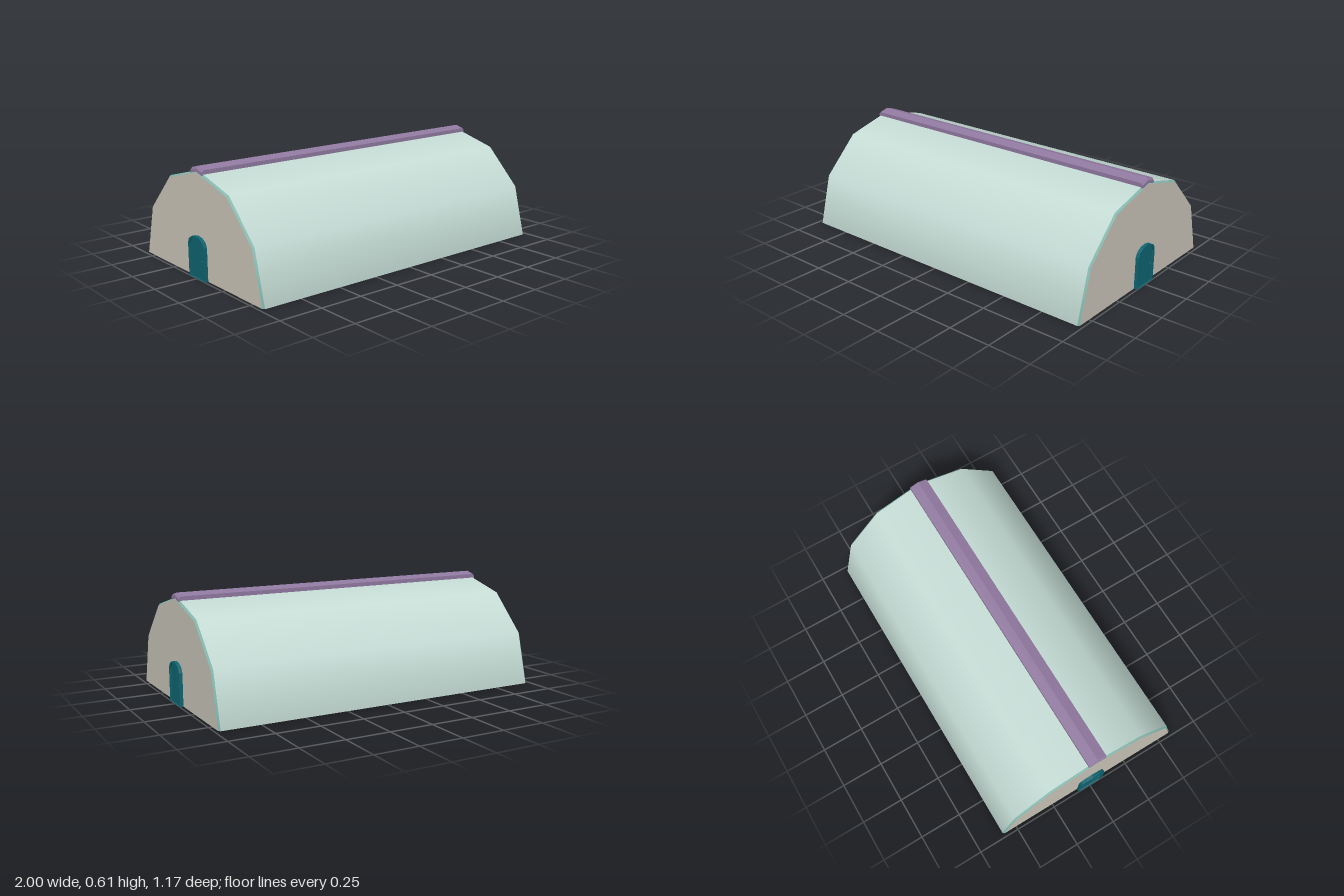
import * as THREE from 'three';

const mat = (name, color, side = THREE.FrontSide) => {
  const m = new THREE.MeshStandardMaterial({ color, side });
  m.name = name;
  return m;
};

function add(parent, name, geometry, material) {
  const mesh = new THREE.Mesh(geometry, material);
  mesh.name = name;
  parent.add(mesh);
  return mesh;
}

// Half cylinder of six panels lying along x, rTop at the -x end
const arch = (rTop, rBottom, length) =>
  new THREE.CylinderGeometry(rTop, rBottom, length, 6, 1, true, 0, Math.PI).rotateZ(Math.PI / 2);

// Closed cross-sections [z, y] joined along x, with flat ends
function loft(sections) {
  const pos = [], n = sections[0].pts.length;
  const point = (s, i) => [sections[s].x, sections[s].pts[i % n][1], sections[s].pts[i % n][0]];
  for (let s = 0; s < sections.length - 1; s++) {
    for (let i = 0; i < n; i++) {
      const a = point(s, i), b = point(s + 1, i), c = point(s + 1, i + 1), d = point(s, i + 1);
      pos.push(...a, ...b, ...c, ...a, ...c, ...d);
    }
  }
  // The section is a bent strip, so each end is two quads either side of the peak
  const last = sections.length - 1;
  for (const [i, j, k, l] of [[0, 1, 2, 5], [5, 2, 3, 4]]) {
    pos.push(...point(0, i), ...point(0, j), ...point(0, k), ...point(0, i), ...point(0, k), ...point(0, l));
    pos.push(...point(last, i), ...point(last, k), ...point(last, j), ...point(last, i), ...point(last, l), ...point(last, k));
  }
  const g = new THREE.BufferGeometry();
  g.setAttribute('position', new THREE.Float32BufferAttribute(pos, 3));
  g.computeVertexNormals();
  return g;
}

// Door outline with a faceted arched top
function doorPoints(inset) {
  const w = 0.08 - inset, top = 0.235 - inset, spring = 0.185 - inset * 0.3;
  const pts = [new THREE.Vector2(-w, 0), new THREE.Vector2(w, 0)];
  for (let i = 0; i <= 6; i++) {
    const a = (i / 6) * Math.PI;
    pts.push(new THREE.Vector2(w * Math.cos(a), spring + (top - spring) * Math.sin(a)));
  }
  return pts;
}

const slab = (shape, depth, x) =>
  new THREE.ExtrudeGeometry(shape, { depth, bevelEnabled: false }).rotateY(Math.PI / 2).translate(x, 0, 0);

export function createModel() {
  const model = new THREE.Group();
  model.name = 'archedBarn';

  const roofMat = mat('pale mint', 0xc5dcd5, THREE.DoubleSide);
  const trimMat = mat('soft teal', 0x82b8af, THREE.DoubleSide);
  const wallMat = mat('warm stone', 0xc9c4b8, THREE.DoubleSide);
  const capMat = mat('dusty purple', 0x9079a0);
  const doorMat = mat('deep teal', 0x0f6470);

  const R = 0.587, r = 0.577, end = 0.98, edge = 0.97;

  // Open-bottomed roof shell
  add(model, 'roof', arch(R, R, 2 * edge), roofMat);

  // Ridge cap with sloping ends
  const capSection = (x, drop) => ({
    x,
    pts: [[0.055, 0.566], [0.055, 0.595 - drop], [0, 0.61 - drop],
      [-0.055, 0.595 - drop], [-0.055, 0.566], [0, 0.58]],
  });
  add(model, 'ridgeCap', loft([
    capSection(-end, 0.013), capSection(-edge, 0), capSection(edge, 0), capSection(end, 0.013),
  ]), capMat);

  // The two ends are alike: bevelled trim, wall and door
  for (const [name, turn] of [['leftEnd', 0], ['rightEnd', Math.PI]]) {
    const side = new THREE.Group();
    side.name = name;
    side.rotation.y = turn;
    model.add(side);

    add(side, 'edgeTrim', arch(R, r, end - edge).translate((end + edge) / 2, 0, 0), trimMat);
    add(side, 'endWall', new THREE.CircleGeometry(r, 6, 0, Math.PI)
      .rotateY(Math.PI / 2).translate(end, 0, 0), wallMat);

    // Door frame around a recessed panel
    const frame = new THREE.Shape(doorPoints(0));
    frame.holes.push(new THREE.Path(doorPoints(0.011).map((p) => (p.y === 0 ? p.setY(0.0005) : p))));
    add(side, 'doorFrame', slab(frame, 0.02, end), doorMat);
    add(side, 'doorPanel', slab(new THREE.Shape(doorPoints(0.011)), 0.012, end), doorMat);
    add(side, 'doorKnob', new THREE.SphereGeometry(0.006, 10, 8).translate(0.993, 0.105, -0.053), doorMat);
  }

  return model;
}
